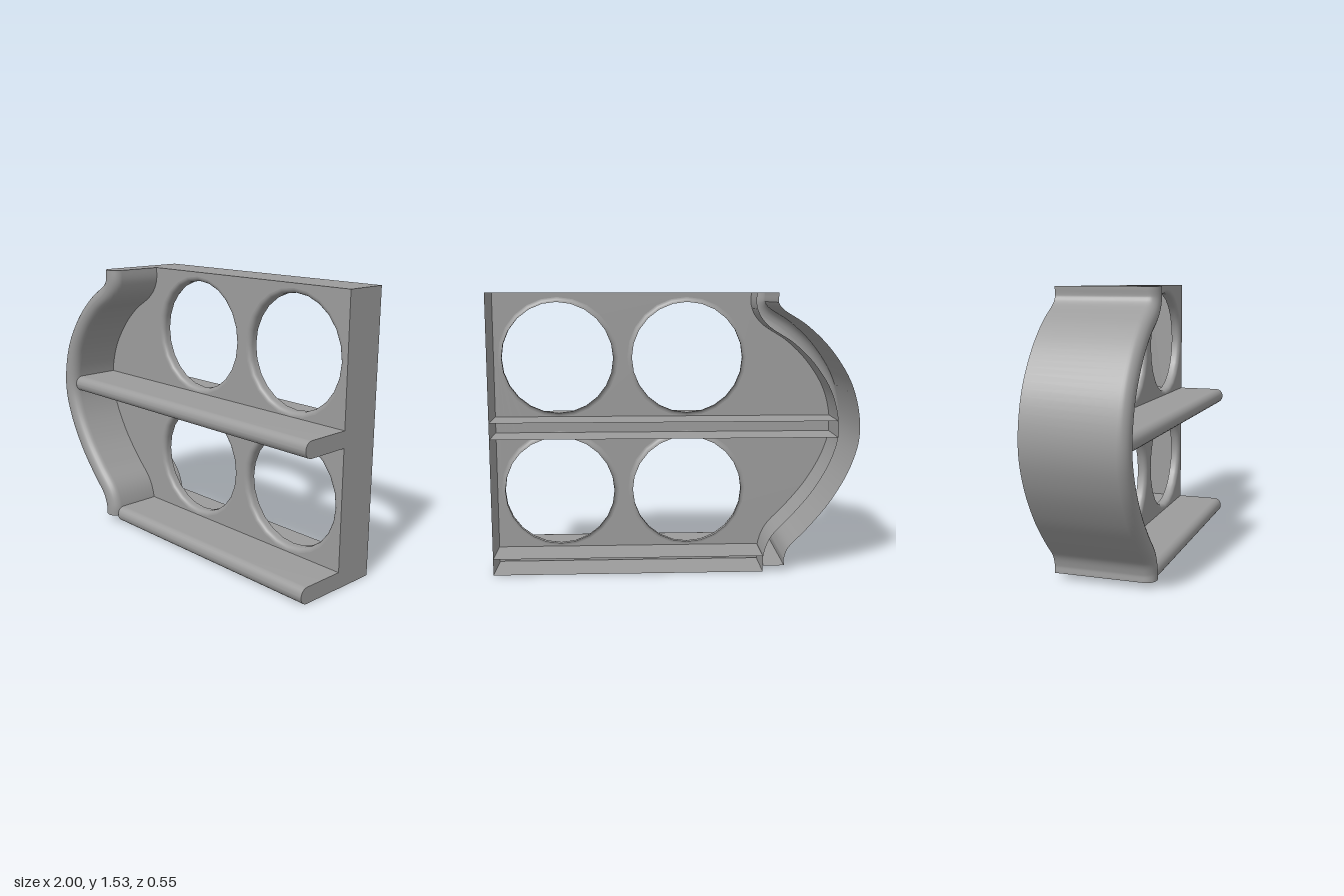
import * as THREE from 'three';
import { mergeGeometries } from 'three/addons/utils/BufferGeometryUtils.js';

const BACK = -0.273, WALL = -0.035;
const grey = new THREE.MeshStandardMaterial({ color: 0x9c9c9c, side: THREE.DoubleSide });

function addMesh(group, name, geometry) {
  const mesh = new THREE.Mesh(geometry, grey);
  mesh.name = name;
  group.add(mesh);
  return mesh;
}

// Unit normal (to the right of travel) at each point of a 2D path
function normalsOf(path) {
  return path.map((p, i) => {
    const a = path[Math.max(i - 1, 0)], b = path[Math.min(i + 1, path.length - 1)];
    return new THREE.Vector2(b.y - a.y, a.x - b.x).normalize();
  });
}

// Hollow board: a U section, open at the back, with a rounded front edge, swept along a path in x/y
function sweepBoard(path, half, front, radius) {
  const section = [[-half, BACK]];
  for (let i = 0; i <= 6; i++) {
    const a = (i / 6) * Math.PI / 2;
    section.push([-half + radius * (1 - Math.cos(a)), front - radius * (1 - Math.sin(a))]);
  }
  for (let i = section.length - 1; i >= 0; i--) section.push([-section[i][0], section[i][1]]);

  const normals = normalsOf(path), n = section.length, pos = [], index = [];
  const ring = (i) => section.forEach(([o, z]) =>
    pos.push(path[i].x + normals[i].x * o, path[i].y + normals[i].y * o, z));
  path.forEach((_, i) => ring(i));
  for (let i = 0; i < path.length - 1; i++) {
    for (let j = 0; j < n - 1; j++) {
      const a = i * n + j, b = a + n;
      index.push(a, b, a + 1, b, b + 1, a + 1);
    }
  }
  // Flat end caps
  for (const end of [0, path.length - 1]) {
    const base = pos.length / 3;
    ring(end);
    for (let j = 1; j < n - 1; j++) {
      if (end === 0) index.push(base, base + j, base + j + 1);
      else index.push(base, base + j + 1, base + j);
    }
  }
  const geometry = new THREE.BufferGeometry();
  geometry.setAttribute('position', new THREE.Float32BufferAttribute(pos, 3));
  geometry.setIndex(index);
  geometry.computeVertexNormals();
  return geometry;
}

export function createModel() {
  const group = new THREE.Group();
  group.name = 'shelfPanel';

  // Bowed side board
  const half = 0.058;
  const bow = new THREE.SplineCurve([
    [-0.54, 0.035], [-0.541, 0.09], [-0.577, 0.175], [-0.68, 0.283], [-0.8, 0.43], [-0.9, 0.61],
    [-0.942, 0.79], [-0.903, 1.0], [-0.8, 1.175], [-0.67, 1.306], [-0.535, 1.395], [-0.488, 1.46], [-0.487, 1.53],
  ].map(([x, y]) => new THREE.Vector2(x, y))).getPoints(72);
  bow[0].x = bow[1].x;
  bow[72].x = bow[71].x;
  addMesh(group, 'bowedSide', sweepBoard(bow, half, 0.273, 0.055));

  // Front wall, following the inside of the bowed side
  const normals = normalsOf(bow);
  const inner = bow.map((p, i) => p.clone().addScaledVector(normals[i], half));
  const wall = new THREE.Shape([
    new THREE.Vector2(-0.48, 0.005), new THREE.Vector2(1, 0.005), new THREE.Vector2(1, 1.53),
    ...inner.reverse(),
  ]);

  // Round openings whose edges roll back into short lips
  const hole = 0.306, roll = 0.026;
  const profile = [];
  for (let i = 0; i <= 6; i++) {
    const a = (i / 6) * Math.PI / 2;
    profile.push(new THREE.Vector2(hole + roll * (1 - Math.sin(a)), WALL - roll * (1 - Math.cos(a))));
  }
  profile.push(new THREE.Vector2(hole, -0.09));
  const lip = new THREE.LatheGeometry(profile, 24).rotateX(Math.PI / 2);
  const lips = [];
  for (const x of [-0.07, 0.645]) {
    for (const y of [0.428, 1.173]) {
      wall.holes.push(new THREE.Path().absarc(x, y, hole + roll, 0, Math.PI * 2, true));
      lips.push(lip.clone().translate(x, y, 0));
    }
  }
  const panel = new THREE.ShapeGeometry(wall, 12).translate(0, 0, WALL);
  addMesh(group, 'frontWall', mergeGeometries([panel, ...lips]));

  // Shelves
  for (const [name, x, y] of [['middleShelf', -0.881, 0.797], ['bottomShelf', -0.48, 0.046]]) {
    const path = [new THREE.Vector2(x, y), new THREE.Vector2(1, y)];
    addMesh(group, name, sweepBoard(path, 0.045, 0.25, 0.043));
  }

  // Thin top and end returns
  const depth = WALL - BACK, midZ = (WALL + BACK) / 2;
  addMesh(group, 'topReturn', new THREE.PlaneGeometry(1.43, depth).rotateX(-Math.PI / 2))
    .position.set(0.285, 1.53, midZ);
  addMesh(group, 'endReturn', new THREE.PlaneGeometry(depth, 1.53).rotateY(Math.PI / 2))
    .position.set(1, 0.765, midZ);

  return group;
}
